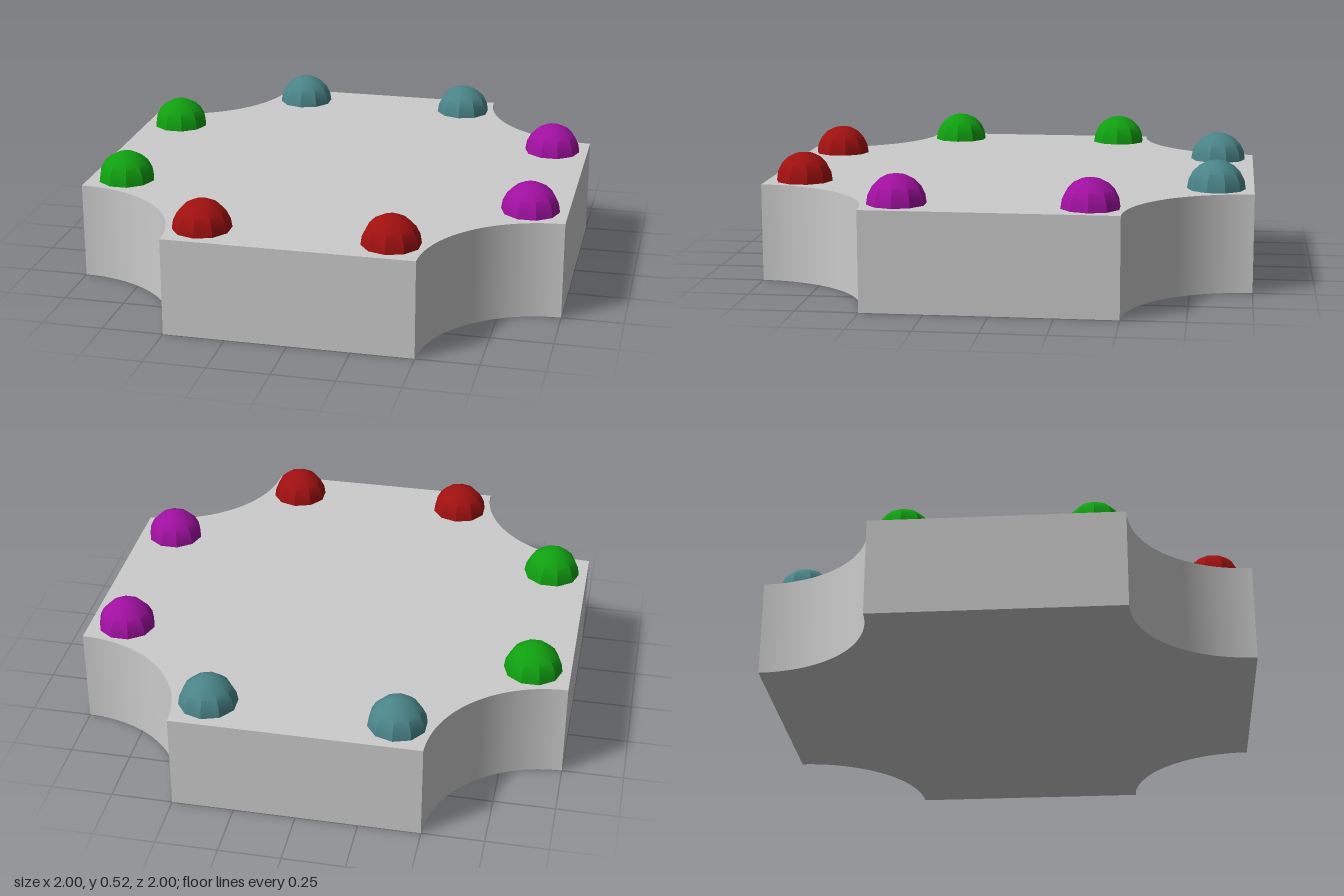
import * as THREE from 'three';
import { toCreasedNormals } from 'three/addons/utils/BufferGeometryUtils.js';

const HEIGHT = 0.4;

// Square slab with a quarter circle bitten out of each corner
function createSlab() {
  const shape = new THREE.Shape();
  const corners = [[1, -1], [1, 1], [-1, 1], [-1, -1]];
  shape.moveTo(-0.5, -1);
  corners.forEach(([x, y], k) => {
    const start = Math.PI + k * Math.PI / 2;
    shape.absarc(x, y, 0.5, start, start - Math.PI / 2, true);
  });
  const geometry = new THREE.ExtrudeGeometry(shape, {
    depth: HEIGHT, bevelEnabled: false, curveSegments: 24,
  });
  geometry.rotateX(-Math.PI / 2);
  const slab = new THREE.Mesh(
    toCreasedNormals(geometry, 0.5),
    new THREE.MeshStandardMaterial({ color: 0xcccccc }),
  );
  slab.name = 'slab';
  return slab;
}

export function createModel() {
  const model = new THREE.Group();
  model.name = 'terminalBlock';
  model.add(createSlab());

  // Ten-sided half sphere shared by all the studs
  const dome = toCreasedNormals(
    new THREE.SphereGeometry(0.118, 10, 5, 0, Math.PI * 2, 0, Math.PI / 2), 0.5);

  // One coloured pair of studs per straight side, turned about the centre
  const sides = [
    ['front', 0xa01010],
    ['left', 0xa010a0],
    ['back', 0x4a8488],
    ['right', 0x10a010],
  ];
  sides.forEach(([side, color], k) => {
    const pair = new THREE.Group();
    pair.name = side + 'Studs';
    pair.rotation.y = k * Math.PI / 2;
    const material = new THREE.MeshStandardMaterial({ color });
    for (const s of [-1, 1]) {
      const stud = new THREE.Mesh(dome, material);
      stud.name = 'stud';
      stud.position.set(s * 0.375, HEIGHT, 0.847);
      stud.rotation.y = Math.PI / 2;
      pair.add(stud);
    }
    model.add(pair);
  });
  return model;
}
